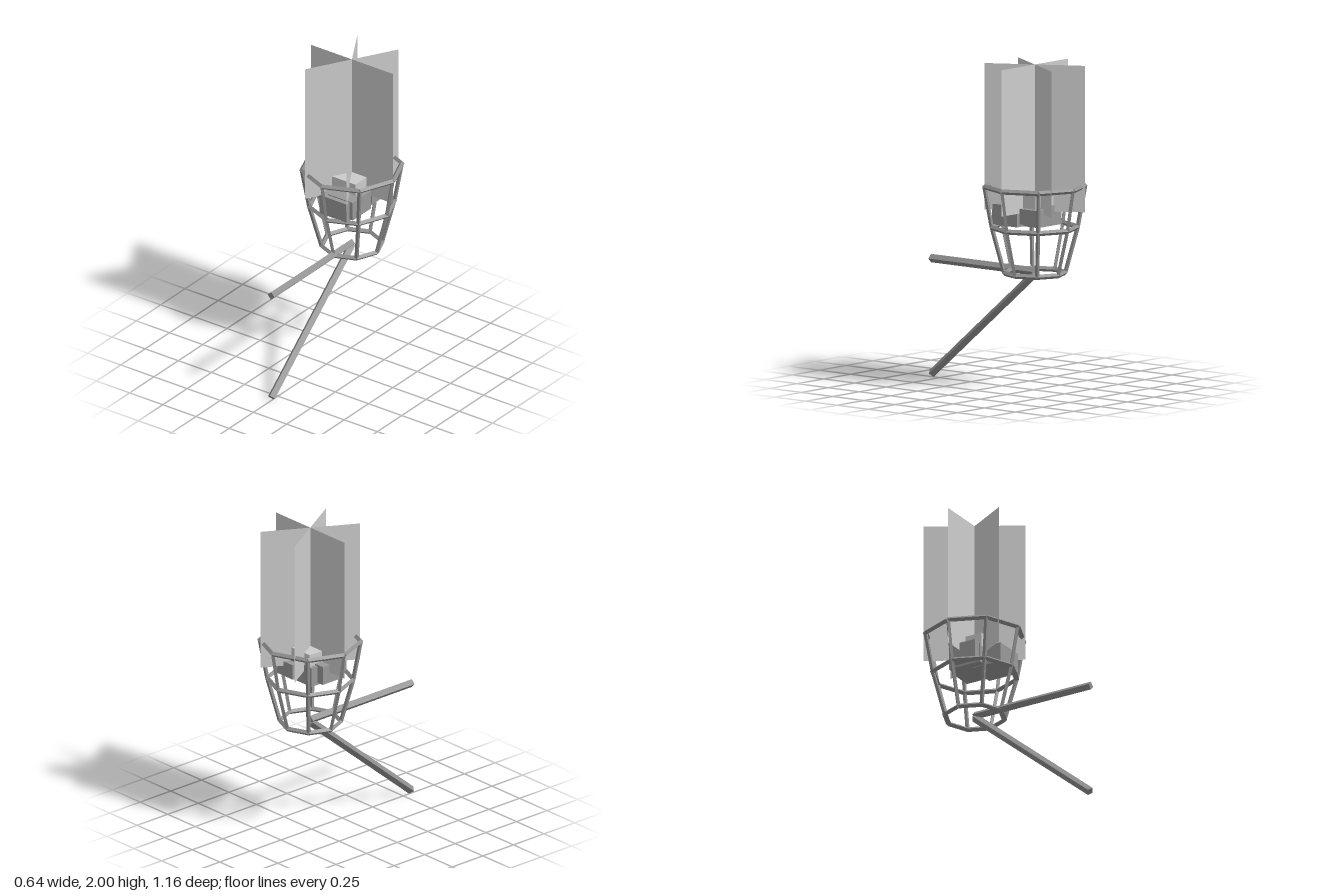
import * as THREE from 'three';

export function createModel() {
  const model = new THREE.Group();
  const axisZ = -0.26;

  const iron = new THREE.MeshStandardMaterial({ color: 0x8f8f8f, flatShading: true });
  iron.name = 'iron grey';
  const coalGrey = new THREE.MeshStandardMaterial({ color: 0x999999 });
  coalGrey.name = 'coal grey';
  const pale = new THREE.MeshStandardMaterial({ color: 0xcccccc, side: THREE.DoubleSide });
  pale.name = 'pale ember grey';

  // Square bar between two points, standing on its edge like a diamond
  function bar(name, a, b, radius, parent) {
    const along = b.clone().sub(a);
    const geometry = new THREE.CylinderGeometry(radius, radius, along.length(), 4);
    along.normalize();
    const side = new THREE.Vector3().crossVectors(along, new THREE.Vector3(0, 1, 0)).normalize();
    const edge = new THREE.Vector3().crossVectors(side, along);
    const mesh = new THREE.Mesh(geometry, iron);
    mesh.quaternion.setFromRotationMatrix(new THREE.Matrix4().makeBasis(side, along, edge));
    mesh.position.copy(a).add(b).multiplyScalar(0.5);
    mesh.name = name;
    parent.add(mesh);
  }

  // Basket: three octagonal hoops joined by eight bent posts
  const basket = new THREE.Group();
  basket.name = 'basket';
  model.add(basket);
  const hoops = [
    { name: 'bottomHoop', r: 0.186, y: 0.72 },
    { name: 'middleHoop', r: 0.262, y: 1.0 },
    { name: 'topHoop', r: 0.307, y: 1.252 },
  ];
  const corner = (hoop, i) => {
    const t = (i * Math.PI) / 4;
    return new THREE.Vector3(Math.sin(t) * hoop.r, hoop.y, axisZ + Math.cos(t) * hoop.r);
  };
  hoops.forEach((hoop, level) => {
    for (let i = 0; i < 8; i++) {
      bar(hoop.name, corner(hoop, i), corner(hoop, i + 1), 0.016, basket);
      if (level > 0) bar('post', corner(hoops[level - 1], i), corner(hoop, i), 0.013, basket);
    }
  });

  // Wall bracket: a level arm and a slanting brace
  const bracket = new THREE.Group();
  bracket.name = 'bracket';
  model.add(bracket);
  bar('levelArm', new THREE.Vector3(0, 0.728, axisZ), new THREE.Vector3(0, 0.728, 0.57), 0.026, bracket);
  bar('slantingBrace', new THREE.Vector3(0, 0.715, axisZ), new THREE.Vector3(0, 0.02, 0.565), 0.026, bracket);

  // Coals, each as x, y and z ranges
  const coals = new THREE.Group();
  coals.name = 'coals';
  model.add(coals);
  function coal(name, material, [x0, x1], [y0, y1], [z0, z1]) {
    const mesh = new THREE.Mesh(new THREE.BoxGeometry(x1 - x0, y1 - y0, z1 - z0), material);
    mesh.position.set((x0 + x1) / 2, (y0 + y1) / 2, (z0 + z1) / 2);
    mesh.name = name;
    coals.add(mesh);
  }
  coal('frontCoal', coalGrey, [-0.075, 0.13], [1.01, 1.136], [-0.23, -0.03]);
  coal('leftCoal', coalGrey, [-0.035, 0.153], [1.02, 1.142], [-0.25, -0.06]);
  coal('backCoal', coalGrey, [0, 0.147], [1.035, 1.13], [-0.405, -0.265]);
  coal('rightCoal', coalGrey, [-0.175, -0.02], [1.03, 1.148], [-0.315, -0.15]);
  coal('middleCoal', coalGrey, [-0.127, 0.09], [1.015, 1.139], [-0.365, -0.145]);
  coal('topCoal', pale, [-0.105, 0.11], [1.13, 1.217], [-0.36, -0.145]);

  // Flame: three upright sheets crossing on the basket's axis
  const flame = new THREE.Group();
  flame.name = 'flame';
  flame.position.set(0, 1.55, axisZ);
  model.add(flame);
  for (let i = 0; i < 3; i++) {
    const sheet = new THREE.Mesh(new THREE.PlaneGeometry(0.62, 0.9), pale);
    sheet.rotation.y = (i * Math.PI) / 3;
    sheet.name = 'flameSheet';
    flame.add(sheet);
  }

  return model;
}
